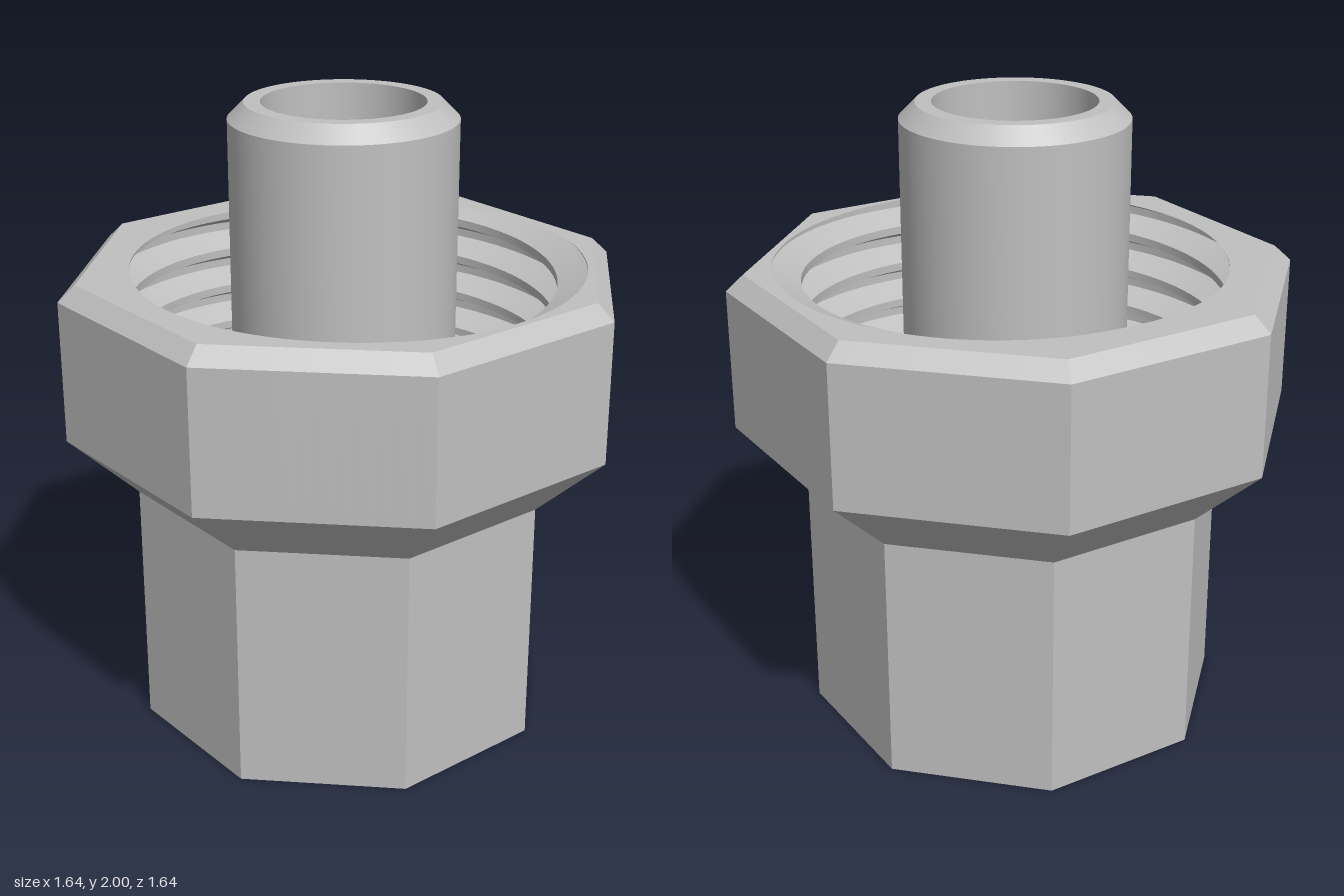
import * as THREE from 'three';
import { toCreasedNormals } from 'three/addons/utils/BufferGeometryUtils.js';

const SEGMENTS = 96;
const TAU = Math.PI * 2;

// Skin through closed rings; each ring maps an angle to [radius, height].
// Faces point outward when the rings run up the outside and down the inside.
function skin(rings, crease = 0.5) {
  const positions = [];
  const index = [];
  for (const ring of rings) {
    for (let i = 0; i <= SEGMENTS; i++) {
      const a = (i / SEGMENTS) * TAU;
      const [r, y] = ring(a);
      positions.push(r * Math.cos(a), y, -r * Math.sin(a));
    }
  }
  const row = SEGMENTS + 1;
  for (let j = 0; j < rings.length - 1; j++) {
    for (let i = 0; i < SEGMENTS; i++) {
      const a = j * row + i;
      const b = a + row;
      index.push(a, a + 1, b, a + 1, b + 1, b);
    }
  }
  const geometry = new THREE.BufferGeometry();
  geometry.setAttribute('position', new THREE.Float32BufferAttribute(positions, 3));
  geometry.setIndex(index);
  return toCreasedNormals(geometry, crease);
}

const circle = (r, y) => () => [r, y];

// Octagon ring with a flat side towards the front, sized by its apothem
const octagon = (apothem, y) => (a) => {
  const step = Math.PI / 4;
  const off = a - Math.round(a / step) * step;
  return [apothem / Math.cos(off), y];
};

// Right-handed internal thread: crest radius, groove depth, pitch, height range
function makeThread({ crest, depth, pitch, bottom, top, start }) {
  const radius = (a, y) => {
    let p = (y - top) / pitch - (a - start) / TAU;
    p -= Math.round(p);
    return crest + depth * THREE.MathUtils.clamp((0.4 - Math.abs(p)) / 0.3, 0, 1);
  };
  const at = (y) => (a) => [radius(a, y), y];
  // Rings follow the helix along the edges of crest and root
  const rings = [at(top)];
  const turns = Math.ceil((top - bottom) / pitch) + 2;
  for (let k = 2; k >= -turns; k--) {
    for (const edge of [0.4, 0.1, -0.1, -0.4]) {
      rings.push((a) => {
        const y = top + pitch * (k + edge + (a - start) / TAU);
        const clamped = THREE.MathUtils.clamp(y, bottom, top);
        return [radius(a, clamped), clamped];
      });
    }
  }
  rings.push(at(bottom));
  return { rings, mouth: at(top), end: at(bottom) };
}

export function createModel() {
  const group = new THREE.Group();
  const metal = new THREE.MeshStandardMaterial({ color: 0xc0c0c0 });
  metal.name = 'grey metal';

  const add = (name, geometry) => {
    const mesh = new THREE.Mesh(geometry, metal);
    mesh.name = name;
    group.add(mesh);
  };

  const upper = makeThread({ crest: 0.66, depth: 0.09, pitch: 0.13, bottom: 1.04, top: 1.5, start: Math.PI / 6 });
  const lower = makeThread({ crest: 0.45, depth: 0.07, pitch: 0.1, bottom: 0, top: 0.39, start: 0 });

  // Octagonal outside: narrow base, flared shoulder, wide nut and chamfer
  add('octagonalBody', skin([
    octagon(0.62, 0), octagon(0.62, 0.8), octagon(0.82, 1),
    octagon(0.82, 1.45), octagon(0.77, 1.5),
  ]));

  // Upper socket
  add('upperRim', skin([octagon(0.77, 1.5), upper.mouth]));
  add('upperThread', skin(upper.rings));
  add('upperSocketFloor', skin([
    upper.end, circle(0.66, 1.04), circle(0.625, 1), circle(0.45, 1),
  ]));

  // Central pipe with conical foot, chamfered lip and through bore
  add('centralPipe', skin([
    circle(0.45, 1), circle(0.35, 1.1), circle(0.35, 1.95),
    circle(0.3, 2), circle(0.25, 2), circle(0.25, 0.8),
  ]));

  // Lower socket
  add('lowerSocketCeiling', skin([
    circle(0.25, 0.8), circle(0.45, 0.8), circle(0.45, 0.39), lower.mouth,
  ]));
  add('lowerThread', skin(lower.rings));
  add('lowerRim', skin([lower.end, octagon(0.62, 0)]));

  return group;
}
